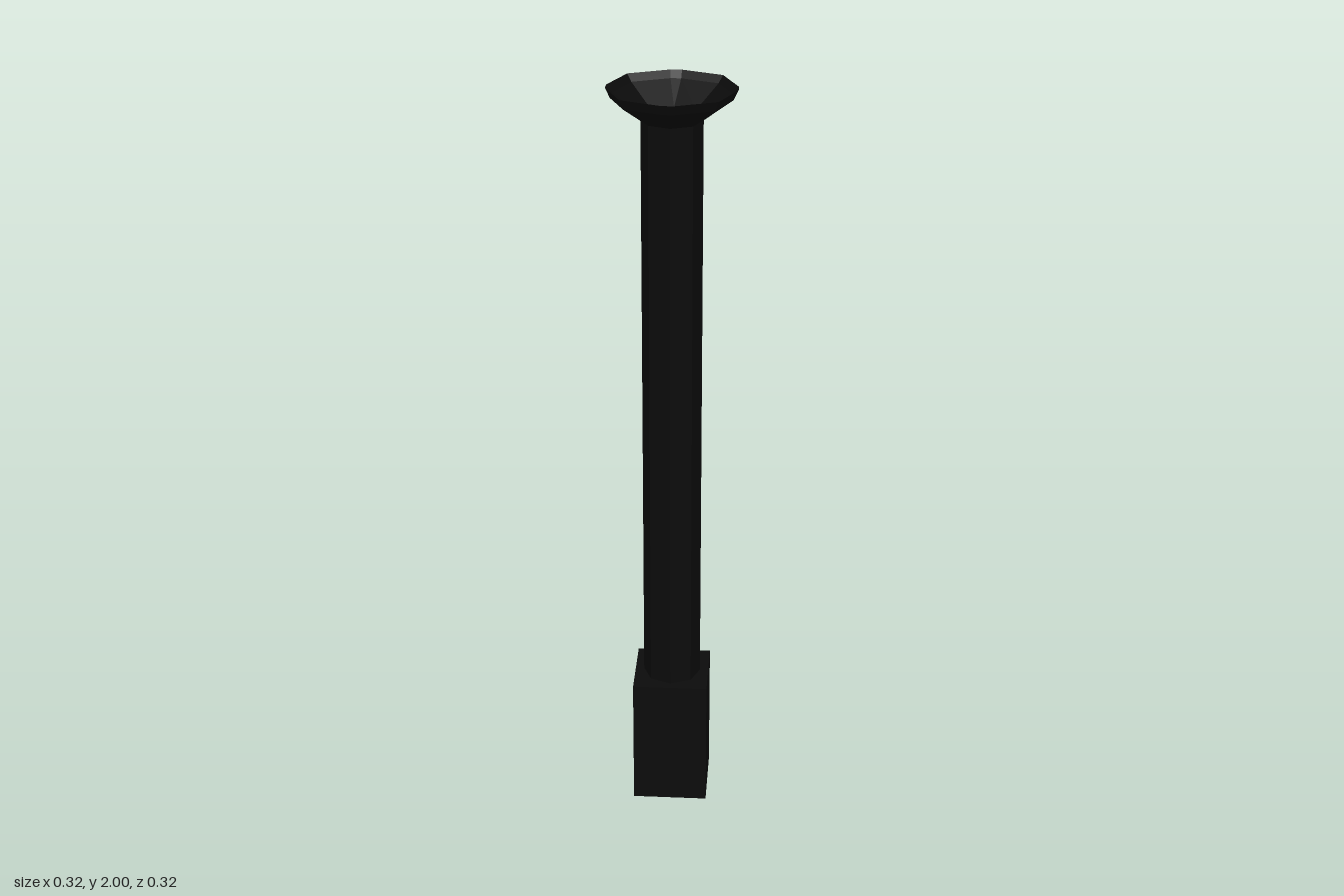
import * as THREE from 'three';

const black = new THREE.MeshStandardMaterial({ color: 0x0b0b0b, flatShading: true });
black.name = 'black';

function addPart(group, name, geometry, y = 0) {
  const mesh = new THREE.Mesh(geometry, black);
  mesh.name = name;
  mesh.position.y = y;
  group.add(mesh);
}

// Octagonal dish whose wide rings have small flats in place of the four corners on the axes
function dishGeometry() {
  const profile = [
    [0, 1.92], [0.077, 1.92], [0.155, 1.975], [0.167, 2],
    [0.152, 1.982], [0.077, 1.928], [0, 1.928],
  ].map(([r, y]) => new THREE.Vector2(r, y));
  const lathe = new THREE.LatheGeometry(profile, 12, Math.PI / 12);
  const pos = lathe.attributes.position;
  const quarter = Math.PI / 2;
  for (let i = 0; i < pos.count; i++) {
    const x = pos.getX(i), z = pos.getZ(i);
    const r = Math.hypot(x, z);
    if (r < 0.001) continue;
    const angle = Math.atan2(x, z);
    const axis = Math.round(angle / quarter) * quarter;
    const offset = angle - axis;
    if (Math.abs(offset) > 0.5) continue; // diagonal corners stay put
    const wide = r > 0.1;
    const a = axis + (wide ? Math.sign(offset) * 0.091 : 0);
    const radius = wide ? r * 0.968 : r;
    pos.setX(i, Math.sin(a) * radius);
    pos.setZ(i, Math.cos(a) * radius);
  }
  const flat = lathe.toNonIndexed();
  flat.computeVertexNormals();
  return flat;
}

export function createModel() {
  const group = new THREE.Group();
  group.name = 'post';

  // Square foot block
  addPart(group, 'base', new THREE.BoxGeometry(0.2, 0.36, 0.2), 0.18);

  // Eight-sided column from the block up to the dish
  addPart(group, 'shaft', new THREE.CylinderGeometry(0.077, 0.077, 1.56, 8), 1.14);

  // Flared hollow top
  addPart(group, 'dish', dishGeometry());

  return group;
}
